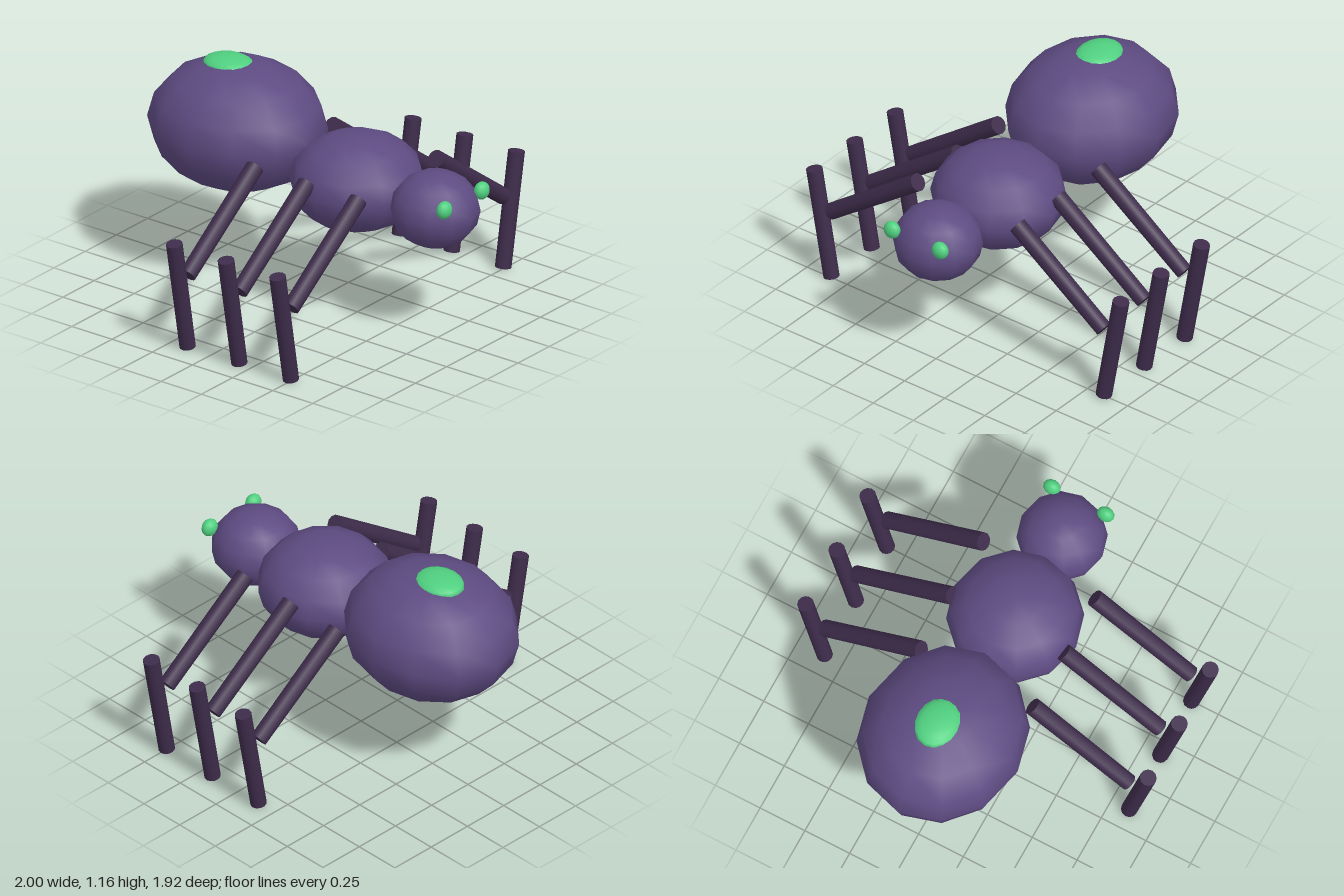
import * as THREE from 'three';

export function createModel() {
  const model = new THREE.Group();
  model.name = 'ant';

  const material = (name, color) => {
    const m = new THREE.MeshStandardMaterial({ color });
    m.name = name;
    return m;
  };
  const purple = material('body purple', 0x5e4b82);
  const plum = material('leg plum', 0x3e2c4b);
  const green = material('glow green', 0x50d080);

  // Ellipsoid from a centre and three radii
  function ellipsoid(name, mat, center, radii, sides = 12, rings = 8) {
    const geometry = new THREE.SphereGeometry(1, sides, rings);
    geometry.scale(...radii);
    const mesh = new THREE.Mesh(geometry, mat);
    mesh.name = name;
    mesh.position.set(...center);
    model.add(mesh);
  }

  // Capped rod between two points
  function rod(name, from, to, rFrom, rTo, parent) {
    const a = new THREE.Vector3(...from);
    const b = new THREE.Vector3(...to);
    const dir = b.clone().sub(a);
    const mesh = new THREE.Mesh(new THREE.CylinderGeometry(rTo, rFrom, dir.length(), 12), plum);
    mesh.name = name;
    mesh.position.copy(a).add(b).multiplyScalar(0.5);
    mesh.quaternion.setFromUnitVectors(new THREE.Vector3(0, 1, 0), dir.normalize());
    parent.add(mesh);
  }

  // Body segments
  ellipsoid('abdomen', purple, [0, 0.82, -0.495], [0.415, 0.33, 0.465]);
  ellipsoid('thorax', purple, [0, 0.715, 0.25], [0.34, 0.245, 0.34]);
  ellipsoid('head', purple, [0, 0.695, 0.735], [0.225, 0.195, 0.225]);

  // Glowing patch on the abdomen
  ellipsoid('backSpot', green, [0, 1.12, -0.55], [0.113, 0.045, 0.137], 16, 8);

  for (const side of [1, -1]) {
    const label = side > 0 ? 'left' : 'right';

    ellipsoid(`${label}Eye`, green, [side * 0.15, 0.785, 0.908], [0.046, 0.046, 0.036]);

    // Three legs on each side
    [0.497, 0.176, -0.146].forEach((z, i) => {
      const leg = new THREE.Group();
      leg.name = `${label}Leg${i + 1}`;
      rod('upperLeg', [side * 0.31, 0.785, z], [side * 0.85, 0.393, z], 0.046, 0.043, leg);
      rod('lowerLeg', [side * 0.957, 0.6, z], [side * 0.85, 0.01, z], 0.042, 0.041, leg);
      model.add(leg);
    });
  }

  return model;
}
